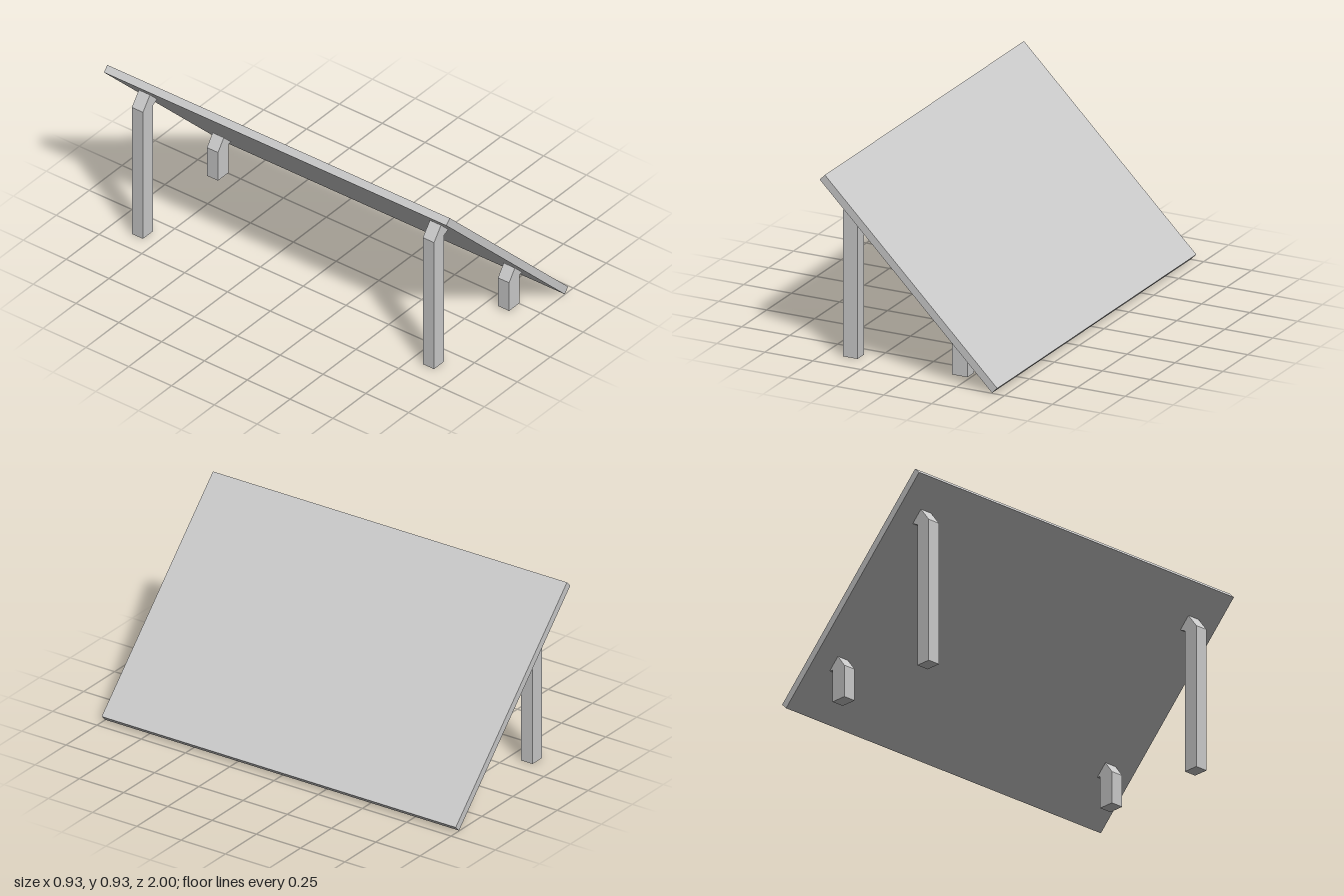
import * as THREE from 'three';

const material = new THREE.MeshStandardMaterial({ color: 0xcccccc, flatShading: true });

// Extrudes an x-y outline along z, centred on the given z.
function extrude(name, points, depth, z = 0) {
  const shape = new THREE.Shape(points.map(([x, y]) => new THREE.Vector2(x, y)));
  const geometry = new THREE.ExtrudeGeometry(shape, { depth, bevelEnabled: false });
  geometry.translate(0, 0, z - depth / 2);
  const mesh = new THREE.Mesh(geometry, material);
  mesh.name = name;
  return mesh;
}

export function createModel() {
  const model = new THREE.Group();
  model.name = 'tiltedPanelOnLegs';

  // Flat panel sloping down towards +x
  model.add(extrude('panel', [
    [0.435, 0.002], [0.462, 0.029], [-0.437, 0.929], [-0.464, 0.902],
  ], 2));

  // Leg outlines, with the heads bent to meet the underside of the panel
  const tallLeg = [
    [-0.404, 0], [-0.327, 0], [-0.327, 0.718],
    [-0.296, 0.734], [-0.351, 0.789], [-0.404, 0.72],
  ];
  const shortLeg = [
    [0.166, 0.008], [0.246, 0.008], [0.246, 0.17],
    [0.266, 0.172], [0.21, 0.228], [0.166, 0.168],
  ];

  // One tall and one short leg near each end
  for (const [side, z] of [['front', 0.85], ['back', -0.85]]) {
    model.add(extrude(side + 'TallLeg', tallLeg, 0.065, z));
    model.add(extrude(side + 'ShortLeg', shortLeg, 0.065, z));
  }
  return model;
}
